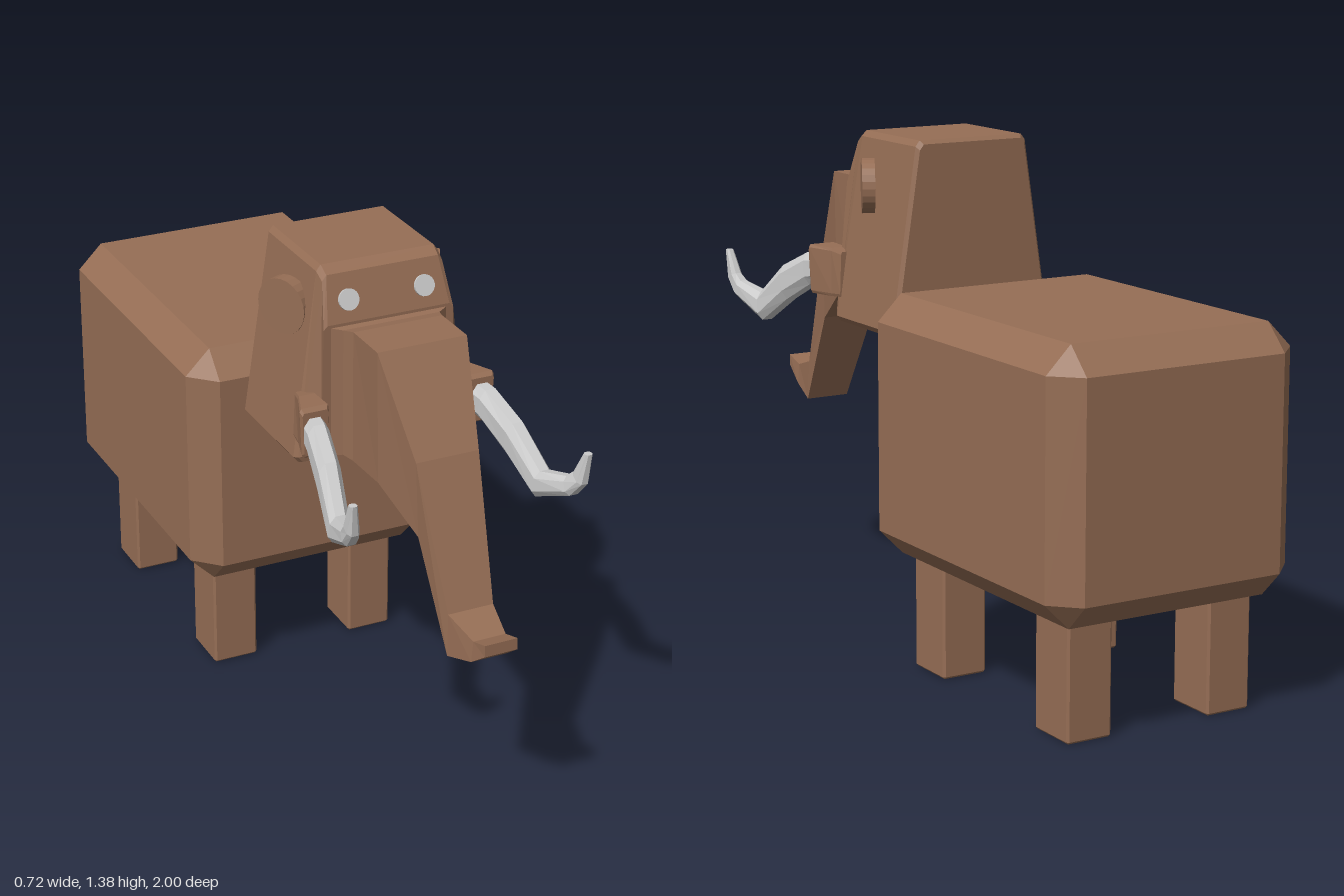
import * as THREE from 'three';
import { ConvexGeometry } from 'three/addons/geometries/ConvexGeometry.js';

const hide = new THREE.MeshStandardMaterial({ color: 0x966e55, flatShading: true });
const ivory = new THREE.MeshStandardMaterial({ color: 0xcccccc, flatShading: true });

// Box with every edge and corner cut by c, centred on the origin
function chamferBox(w, h, d, c) {
  const pts = [], signs = [-1, 1];
  for (const x of signs) for (const y of signs) for (const z of signs) {
    const add = (i, j, k) => pts.push(new THREE.Vector3(x * (w / 2 - i), y * (h / 2 - j), z * (d / 2 - k)));
    add(0, c, c); add(c, 0, c); add(c, c, 0);
  }
  return new ConvexGeometry(pts);
}

// Square outline with cut corners, counter-clockwise, within -1..1
function outline(cut) {
  if (!cut) return [[1, -1], [1, 1], [-1, 1], [-1, -1]];
  const k = 1 - cut;
  return [[1, -k], [1, k], [k, 1], [-k, 1], [-1, k], [-1, -k], [-k, -1], [k, -1]];
}

// Skin over sections [zTop, yTop, zBottom, yBottom, xCentre, halfWidthTop, halfWidthBottom]
function loft(sections, cut) {
  const ring = outline(cut), n = ring.length, pos = [], idx = [];
  for (const [zt, yt, zb, yb, xc, wt, wb] of sections) {
    for (const [u, v] of ring) {
      const t = (v + 1) / 2;
      pos.push(xc + u * (wb + (wt - wb) * t), yb + (yt - yb) * t, zb + (zt - zb) * t);
    }
  }
  const last = (sections.length - 1) * n;
  for (let s = 0; s < last; s += n) for (let j = 0; j < n; j++) {
    const k = (j + 1) % n;
    idx.push(s + j, s + k, s + n + k, s + j, s + n + k, s + n + j);
  }
  for (let j = 1; j < n - 1; j++) idx.push(0, j + 1, j, last, last + j, last + j + 1);
  const g = new THREE.BufferGeometry();
  g.setAttribute('position', new THREE.Float32BufferAttribute(pos, 3));
  g.setIndex(idx);
  const flat = g.toNonIndexed();
  flat.computeVertexNormals();
  return flat;
}

export function createModel() {
  const group = new THREE.Group();
  const add = (name, geometry, material, x = 0, y = 0, z = 0) => {
    const mesh = new THREE.Mesh(geometry, material);
    mesh.name = name;
    mesh.position.set(x, y, z);
    group.add(mesh);
    return mesh;
  };

  // Body
  add('body', chamferBox(0.72, 0.7, 0.95, 0.07), hide, 0, 0.66, -0.525);

  // Head, wider at the jaw, sloping in to the face
  add('head', loft([
    [0, 1.378, 0, 0.87, 0, 0.16, 0.237],
    [0.01, 1.388, 0.01, 0.861, 0, 0.168, 0.247],
    [0.3, 1.388, 0.32, 0.861, 0, 0.168, 0.247],
    [0.33, 1.37, 0.335, 0.866, 0, 0.166, 0.24],
    [0.37, 1.25, 0.37, 0.885, 0, 0.182, 0.19],
  ], 0.06), hide);

  // Trunk, ending in an upturned tip
  add('trunk', loft([
    [0.36, 1.245, 0.36, 0.885, 0, 0.18, 0.18],
    [0.385, 1.238, 0.385, 0.89, 0, 0.135, 0.135],
    [0.42, 1.245, 0.42, 0.887, 0, 0.124, 0.124],
    [0.555, 1.245, 0.555, 0.885, 0, 0.124, 0.118],
    [0.7, 1.0, 0.705, 0.795, 0, 0.087, 0.08],
    [0.84, 0.64, 0.845, 0.525, 0, 0.063, 0.066],
    [0.94, 0.612, 0.94, 0.555, 0, 0.045, 0.05],
    [1.0, 0.632, 1.0, 0.6, 0, 0.045, 0.045],
  ], 0), hide);

  for (const s of [1, -1]) {
    const side = s > 0 ? 'left' : 'right';

    // Legs
    add(side + 'FrontLeg', chamferBox(0.13, 0.32, 0.15, 0.006), hide, s * 0.21, 0.165, -0.235);
    add(side + 'BackLeg', chamferBox(0.13, 0.32, 0.15, 0.006), hide, s * 0.21, 0.165, -0.83);

    // Ear: a thin disc turned towards the front
    const disc = new THREE.CylinderGeometry(0.075, 0.075, 0.035, 24).rotateZ(Math.PI / 2);
    add(side + 'Ear', disc, hide, s * 0.21, 1.25, 0.2).rotation.y = -s * 0.47;

    // Eye: a flat disc on the sloping brow
    const eye = new THREE.CylinderGeometry(0.028, 0.028, 0.014, 20).rotateX(Math.PI / 2);
    add(side + 'Eye', eye, ivory, s * 0.106, 1.304, 0.352).rotation.x = -0.32;

    // Tusk socket
    add(side + 'TuskSocket', loft([
      [0.31, 1.055, 0.31, 0.93, s * 0.215, 0.02, 0.025],
      [0.35, 1.062, 0.35, 0.927, s * 0.22, 0.025, 0.025],
      [0.425, 1.065, 0.425, 0.927, s * 0.234, 0.041, 0.035],
      [0.435, 1.055, 0.435, 0.935, s * 0.235, 0.036, 0.03],
    ], 0.12), hide);

    // Tusk, dipping then curling up to the tip
    add(side + 'Tusk', loft([
      [0.42, 1.04, 0.42, 0.955, s * 0.235, 0.03, 0.03],
      [0.47, 1.035, 0.46, 0.945, s * 0.242, 0.03, 0.03],
      [0.58, 0.985, 0.56, 0.89, s * 0.262, 0.03, 0.03],
      [0.685, 0.893, 0.67, 0.815, s * 0.285, 0.026, 0.03],
      [0.772, 0.915, 0.795, 0.87, s * 0.308, 0.02, 0.024],
      [0.79, 0.935, 0.832, 0.915, s * 0.316, 0.016, 0.018],
      [0.822, 1.0, 0.842, 1.0, s * 0.322, 0.01, 0.01],
    ], 0.5), ivory);
  }
  return group;
}
